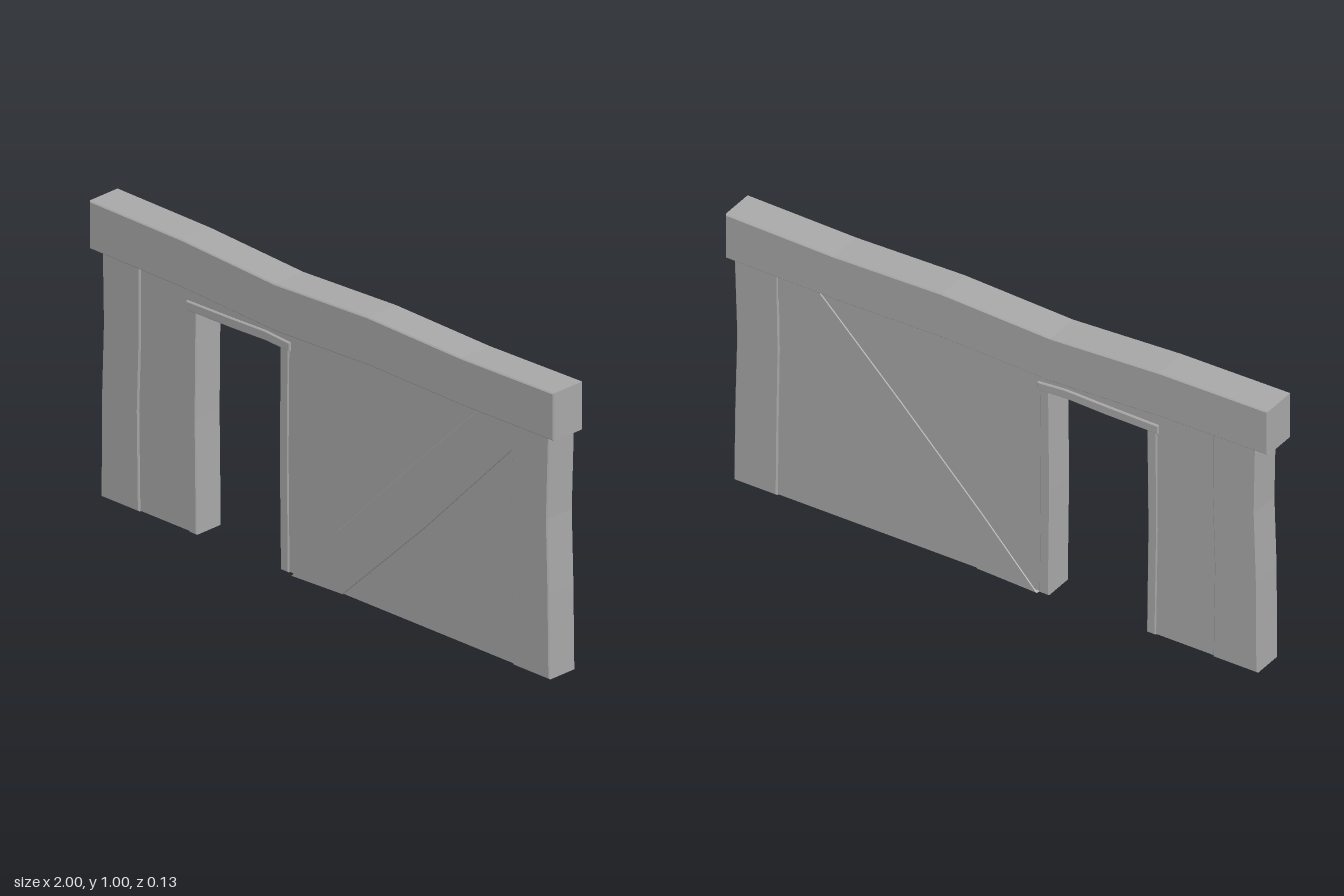
import * as THREE from 'three';

const stone = new THREE.MeshStandardMaterial({ color: 0xa8a8a8 });
stone.name = 'plain grey';

// Outline in x/y, extruded to +-half in z, with a worn bevel kept inside the outline
function slab(name, points, half, bevel = 0.004) {
  const shape = new THREE.Shape(points.map(([x, y]) => new THREE.Vector2(x, y)));
  const geometry = new THREE.ExtrudeGeometry(shape, {
    depth: 2 * (half - bevel), bevelEnabled: bevel > 0, bevelThickness: bevel,
    bevelSize: bevel, bevelOffset: -bevel, bevelSegments: 1,
  });
  geometry.translate(0, 0, -(half - bevel));
  const mesh = new THREE.Mesh(geometry, stone);
  mesh.name = name;
  return mesh;
}

export function createModel() {
  const group = new THREE.Group();
  group.name = 'wallWithDoorway';

  // Plaster infill, cut away at the doorway
  group.add(slab('wallPanel', [
    [-0.87, 0.012], [-0.56, 0.012], [-0.56, 0.775], [-0.17, 0.775], [-0.17, 0.012],
    [0.88, 0.012], [0.88, 0.88], [-0.87, 0.88],
  ], 0.05, 0));

  // Sagging top beam
  group.add(slab('topBeam', [
    [-1, 0.838], [-0.6, 0.834], [-0.2, 0.815], [0.2, 0.829], [0.6, 0.823], [1, 0.828],
    [1, 0.99], [0.6, 0.982], [0.2, 0.991], [-0.2, 0.975], [-0.6, 0.996], [-1, 1],
  ], 0.065));

  // Slightly crooked corner posts
  group.add(slab('rightPost', [
    [-0.957, 0.01], [-0.793, 0.01], [-0.798, 0.35], [-0.79, 0.6], [-0.791, 0.86],
    [-0.952, 0.86], [-0.947, 0.6], [-0.955, 0.35],
  ], 0.057));
  group.add(slab('leftPost', [
    [0.815, 0.01], [0.974, 0.01], [0.97, 0.3], [0.963, 0.55], [0.973, 0.86],
    [0.813, 0.86], [0.808, 0.55], [0.812, 0.3],
  ], 0.057));

  // Diagonal brace, running behind the left post and top beam
  group.add(slab('diagonalBrace', [
    [-0.142, 0.002], [0.08, 0.01], [0.43, 0.345], [0.84, 0.765], [0.84, 0.86],
    [0.7, 0.86], [0.36, 0.525], [0.06, 0.22],
  ], 0.0535, 0.002));

  // Door frame
  group.add(slab('rightJamb', [
    [-0.579, 0.01], [-0.547, 0.01], [-0.552, 0.4], [-0.548, 0.77],
    [-0.583, 0.77], [-0.585, 0.4],
  ], 0.055, 0.003));
  group.add(slab('leftJamb', [
    [-0.186, 0.01], [-0.151, 0.01], [-0.155, 0.4], [-0.152, 0.77],
    [-0.187, 0.77], [-0.191, 0.4],
  ], 0.055, 0.003));
  group.add(slab('lintel', [
    [-0.59, 0.76], [-0.4, 0.761], [-0.25, 0.766], [-0.145, 0.761],
    [-0.145, 0.79], [-0.25, 0.798], [-0.4, 0.794], [-0.59, 0.791],
  ], 0.058, 0.003));

  return group;
}
